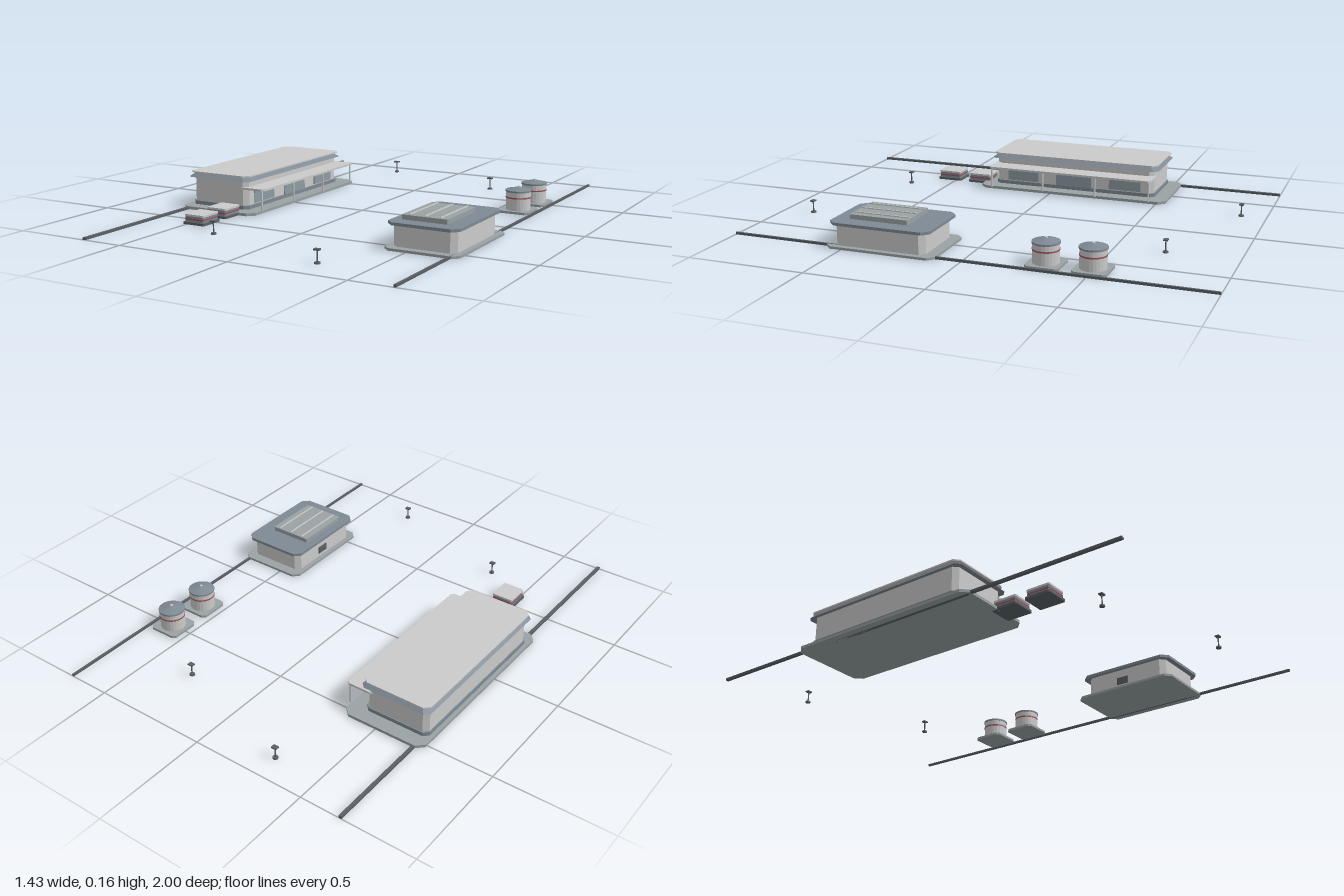
import * as THREE from 'three';

const mat = (color) => new THREE.MeshStandardMaterial({ color, flatShading: true });
const grey = mat(0xcccccc);
const stone = mat(0x9aa2a4);
const slate = mat(0x7f8a94);
const dark = mat(0x5c6166);
const glass = mat(0x8c9ca4);
const red = mat(0xa0525a);

function add(parent, name, geometry, material, x = 0, y = 0, z = 0) {
  const mesh = new THREE.Mesh(geometry, material);
  mesh.name = name;
  mesh.position.set(x, y, z);
  parent.add(mesh);
  return mesh;
}

// Block with cut corners; inset pulls the top edge inwards on every side
function block(parent, name, material, [x0, x1], [y0, y1], [z0, z1], cut = 0.02, inset = 0) {
  const a = (x1 - x0) / 2, b = (z1 - z0) / 2;
  const shape = new THREE.Shape([
    [a, b - cut], [a - cut, b], [cut - a, b], [-a, b - cut],
    [-a, cut - b], [cut - a, -b], [a - cut, -b], [a, cut - b],
  ].map(([x, y]) => new THREE.Vector2(x, y)));
  const geo = new THREE.ExtrudeGeometry(shape, { depth: y1 - y0, bevelEnabled: false });
  geo.rotateX(-Math.PI / 2);
  const p = geo.attributes.position;
  for (let i = 0; i < p.count; i++) {
    if (p.getY(i) < (y1 - y0) / 2) continue;
    p.setX(i, p.getX(i) * (1 - inset / a));
    p.setZ(i, p.getZ(i) * (1 - inset / b));
  }
  geo.computeVertexNormals();
  return add(parent, name, geo, material, (x0 + x1) / 2, y0, (z0 + z1) / 2);
}

function box(parent, name, material, [w, h, d], x, y, z) {
  return add(parent, name, new THREE.BoxGeometry(w, h, d), material, x, y, z);
}

function group(parent, name, x = 0, z = 0) {
  const g = new THREE.Group();
  g.name = name;
  g.position.set(x, 0, z);
  parent.add(g);
  return g;
}

// Long hall with a sloped eave and a porch along its inner side
function buildHall(root) {
  const hall = group(root, 'hall');
  block(hall, 'hallSlab', stone, [-0.714, -0.342], [0, 0.012], [-0.54, 0.345], 0.03);
  block(hall, 'hallPlinth', slate, [-0.697, -0.405], [0.012, 0.028], [-0.477, 0.287]);
  block(hall, 'hallWalls', grey, [-0.692, -0.41], [0.012, 0.135], [-0.472, 0.282]);
  block(hall, 'hallEave', slate, [-0.708, -0.394], [0.134, 0.153], [-0.495, 0.303], 0.02, 0.024);
  block(hall, 'hallRoof', grey, [-0.702, -0.4], [0.153, 0.159], [-0.487, 0.295], 0.022);
  block(hall, 'porchRoof', grey, [-0.44, -0.321], [0.1, 0.109], [-0.48, 0.288], 0.01);
  for (let i = 0; i < 4; i++) {
    const z = 0.28 - i * 0.25;
    add(hall, 'porchPost', new THREE.CylinderGeometry(0.004, 0.004, 0.09, 8), grey, -0.333, 0.056, z);
  }
  // Entrance and windows behind the porch
  box(hall, 'hallDoor', glass, [0.006, 0.075, 0.17], -0.409, 0.055, -0.095);
  for (const s of [-1, 1]) {
    box(hall, 'hallWindow', glass, [0.006, 0.06, 0.15], -0.409, 0.062, -0.095 + s * 0.245);
  }
}

// Low workshop with a ribbed panel on its roof
function buildWorkshop(root) {
  const shop = group(root, 'workshop');
  block(shop, 'workshopSlab', stone, [0.402, 0.714], [0, 0.01], [0.105, 0.573], 0.025);
  block(shop, 'workshopWalls', grey, [0.424, 0.69], [0.01, 0.096], [0.15, 0.538], 0.022);
  block(shop, 'workshopRoof', slate, [0.408, 0.706], [0.095, 0.107], [0.127, 0.56], 0.028);
  block(shop, 'roofPanel', stone, [0.446, 0.638], [0.107, 0.126], [0.242, 0.496], 0.004);
  for (const x of [0.478, 0.542, 0.606]) {
    box(shop, 'panelRib', grey, [0.005, 0.005, 0.245], x, 0.128, 0.369);
  }
  box(shop, 'wallVent', dark, [0.006, 0.032, 0.055], 0.423, 0.043, 0.33);
}

// Storage tank on a square pad
function buildTank(root, z) {
  const tank = group(root, 'tank', 0.594, z);
  block(tank, 'tankPad', stone, [-0.069, 0.069], [0, 0.01], [-0.069, 0.069], 0.014);
  const ring = (name, r0, r1, h, y, m) =>
    add(tank, name, new THREE.CylinderGeometry(r0, r1, h, 24), m, 0, y, 0);
  ring('tankBody', 0.053, 0.053, 0.085, 0.0525, grey);
  ring('tankStripe', 0.0545, 0.0545, 0.006, 0.064, red);
  ring('tankRim', 0.056, 0.056, 0.007, 0.092, slate);
  ring('tankLid', 0.01, 0.054, 0.011, 0.101, slate);
  ring('tankCap', 0.006, 0.006, 0.006, 0.108, grey);
}

// Lidded crate with a red stripe
function buildCrate(root, z) {
  const crate = group(root, 'crate', -0.465, z);
  block(crate, 'crateBase', dark, [-0.053, 0.053], [0, 0.01], [-0.058, 0.058], 0.005);
  block(crate, 'crateBody', slate, [-0.046, 0.046], [0.01, 0.034], [-0.051, 0.051], 0.004);
  block(crate, 'crateStripe', red, [-0.0475, 0.0475], [0.019, 0.025], [-0.0525, 0.0525], 0.004);
  block(crate, 'crateLid', grey, [-0.048, 0.048], [0.034, 0.042], [-0.053, 0.053], 0.004);
}

// Short lamp post
function buildLamp(root, x, z) {
  const lamp = group(root, 'lamp', x, z);
  add(lamp, 'lampBase', new THREE.CylinderGeometry(0.011, 0.012, 0.007, 8), dark, 0, 0.0035, 0);
  add(lamp, 'lampPole', new THREE.CylinderGeometry(0.0028, 0.0028, 0.048, 8), dark, 0, 0.029, 0);
  box(lamp, 'lampHead', dark, [0.023, 0.006, 0.018], 0, 0.053, 0);
}

export function createModel() {
  const root = new THREE.Group();
  root.name = 'compound';
  buildHall(root);
  buildWorkshop(root);
  for (const z of [-0.502, -0.315]) buildTank(root, z);
  for (const z of [0.376, 0.53]) buildCrate(root, z);
  const lamps = [[-0.296, -0.892], [0.297, -0.705], [-0.296, 0.677], [0.297, 0.863]];
  for (const [x, z] of lamps) buildLamp(root, x, z);

  // Long boundary kerbs on both sides
  box(root, 'rightKerb', dark, [0.014, 0.01, 2], -0.677, 0.005, 0);
  box(root, 'leftKerb', dark, [0.009, 0.01, 2], 0.681, 0.005, 0);
  return root;
}
